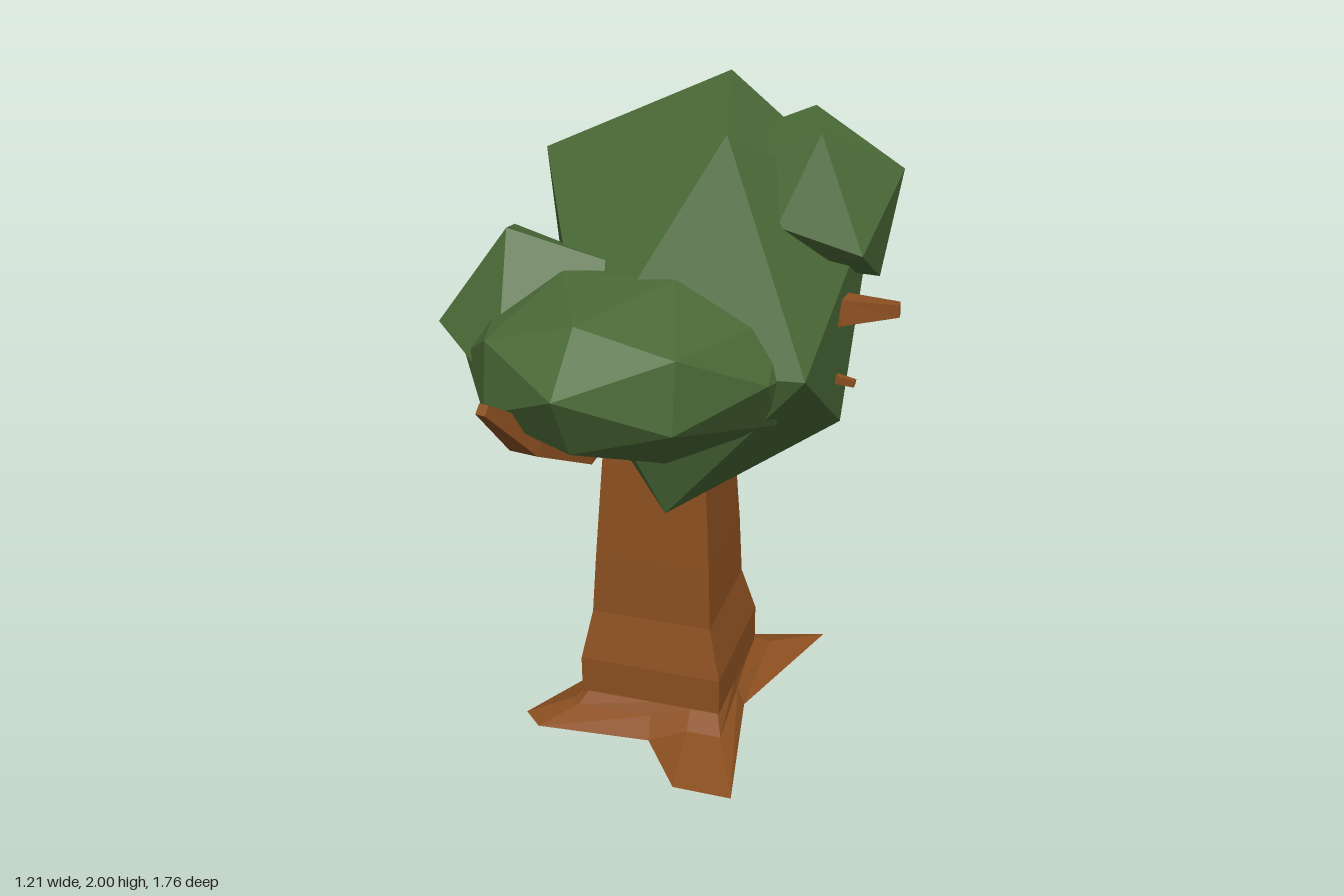
import * as THREE from 'three';
import { ConvexGeometry } from 'three/addons/geometries/ConvexGeometry.js';

const bark = new THREE.MeshStandardMaterial({ color: 0x8b4f20, flatShading: true });
const leaf = new THREE.MeshStandardMaterial({ color: 0x4b6a37, flatShading: true });
const V = (x, y, z) => new THREE.Vector3(x, y, z);

// Skin over a list of rings (clockwise seen from the far end), capped at both ends
function loft(rings) {
  const out = [];
  const tri = (...p) => p.forEach((v) => out.push(v.x, v.y, v.z));
  const n = rings[0].length;
  const mid = (ring) => ring.reduce((s, p) => s.add(p), V(0, 0, 0)).divideScalar(n);
  const first = rings[0], last = rings[rings.length - 1];
  const c0 = mid(first), c1 = mid(last);
  for (let i = 0; i < n; i++) {
    const j = (i + 1) % n;
    for (let k = 0; k < rings.length - 1; k++) {
      const lo = rings[k], hi = rings[k + 1];
      tri(lo[i], hi[i], lo[j]);
      tri(lo[j], hi[i], hi[j]);
    }
    tri(c0, first[i], first[j]);
    tri(c1, last[j], last[i]);
  }
  const g = new THREE.BufferGeometry();
  g.setAttribute('position', new THREE.Float32BufferAttribute(out, 3));
  g.computeVertexNormals();
  return g;
}

// Tapered four-sided branch through [x, y, z, radius] stations
function limb(stations) {
  const pts = stations.map(([x, y, z]) => V(x, y, z));
  return loft(pts.map((p, i) => {
    const t = pts[Math.min(i + 1, pts.length - 1)].clone().sub(pts[Math.max(i - 1, 0)]).normalize();
    const u = V(0, 1, 0).cross(t).normalize();
    const v = t.clone().cross(u);
    return [0, 1, 2, 3].map((k) => {
      const a = -(k + 0.5) * Math.PI / 2, r = stations[i][3];
      return p.clone().addScaledVector(u, r * Math.cos(a)).addScaledVector(v, r * Math.sin(a));
    });
  }));
}

const hull = (points) => new ConvexGeometry(points.map((p) => V(...p)));

export function createModel() {
  const tree = new THREE.Group();
  tree.name = 'tree';
  const add = (name, geometry, material) => {
    const m = new THREE.Mesh(geometry, material);
    m.name = name;
    tree.add(m);
    return m;
  };

  // Square trunk: [y, half width, centre x]
  add('trunk', loft([[0.1, 0.228, -0.085], [0.24, 0.228, -0.085], [0.4, 0.192, -0.09],
    [0.6, 0.182, -0.087], [0.9, 0.163, -0.085], [1.2, 0.14, -0.085]].map(([y, h, x]) =>
    [[1, -1], [1, 1], [-1, 1], [-1, -1]].map(([a, b]) => V(x + a * h, y, -0.01 + b * h)))), bark);

  // Root flare: a flat star squeezed between two squares
  const square = [[0.14, -0.24], [0.14, 0], [0.14, 0.22], [0.05, 0.22], [-0.08, 0.22],
    [-0.29, 0.22], [-0.31, 0.2], [-0.31, 0], [-0.31, -0.24], [-0.08, -0.24]];
  const star = [[0.345, -0.445], [0.18, 0.04], [0.26, 0.5], [0.08, 0.5], [-0.06, 0.31],
    [-0.42, 0.34], [-0.485, 0.28], [-0.34, 0], [-0.37, -0.3], [-0.1, -0.27]];
  const at = (ring, y) => ring.map(([x, z]) => V(x, y, z));
  const shoulder = star.map(([x, z], i) =>
    [square[i][0] * 0.78 + x * 0.22, square[i][1] * 0.78 + z * 0.22]);
  add('roots', loft([at(square, 0), at(star, 0.04), at(shoulder, 0.08), at(square, 0.12)]), bark);

  // Branches
  add('backBranch', limb([[-0.12, 0.94, -0.08, 0.08], [-0.22, 0.905, -0.33, 0.05],
    [-0.26, 0.875, -0.49, 0.092], [-0.29, 0.865, -0.69, 0.042]]), bark);
  add('backTwig', limb([[-0.25, 0.89, -0.44, 0.07], [-0.31, 0.9, -0.42, 0.055],
    [-0.38, 0.905, -0.4, 0.022]]), bark);
  add('frontBranch', limb([[-0.19, 1.15, 0.2, 0.07], [-0.21, 1.135, 0.47, 0.09],
    [-0.24, 1.23, 0.69, 0.06], [-0.275, 1.375, 0.865, 0.02]]), bark);
  add('leftBranch', limb([[0.1, 1.3, 0.02, 0.06], [0.44, 1.43, 0.04, 0.055],
    [0.6, 1.44, 0.03, 0.025]]), bark);
  add('leftTwig', limb([[0.3, 1.22, -0.01, 0.025], [0.48, 1.19, -0.01, 0.014]]), bark);

  // Main crown: a jagged twelve-cornered hull
  add('mainCrown', hull([[0, 2, -0.38], [0.16, 1.94, 0.25], [-0.41, 1.84, 0.08],
    [-0.41, 1.52, -0.47], [0.16, 1.38, -0.64], [0.415, 1, -0.16], [0.415, 1.34, 0.39],
    [0, 0.85, 0.3], [0.48, 1.69, -0.18], [-0.15, 1.37, 0.52], [-0.42, 1.07, -0.1],
    [-0.05, 0.98, -0.4]]), leaf);

  // Long tilted clump that pokes out at the front and the back
  const long = add('longClump', new THREE.IcosahedronGeometry(1, 1), leaf);
  long.scale.set(0.5, 0.305, 0.895);
  long.rotation.x = -0.17;
  long.position.set(-0.09, 1.27, 0);

  // Small clumps
  add('rightClump', hull([[-0.605, 1.42, 0.43], [-0.41, 1.685, 0.38], [-0.55, 1.59, 0.02],
    [-0.34, 1.33, 0.65], [-0.54, 1.22, 0.1], [-0.44, 1.09, 0.2], [-0.1, 1.6, 0.35],
    [-0.2, 1.1, 0.42], [-0.2, 1.4, 0]]), leaf);
  add('leftTopClump', hull([[0.57, 1.8, -0.11], [0.38, 1.93, 0.12], [0.3, 1.945, -0.19],
    [0.36, 1.67, -0.33], [0.52, 1.49, -0.1], [0.51, 1.62, 0.16], [0.29, 1.7, 0.22],
    [0.19, 1.91, -0.09], [0.22, 1.87, 0.1], [0.3, 1.55, 0.05]]), leaf);
  add('backClump', hull([[-0.16, 1.7, -0.57], [-0.38, 1.58, -0.46], [-0.37, 1.47, -0.62],
    [-0.08, 1.42, -0.705], [0.02, 1.57, -0.57], [0.02, 1.4, -0.6], [-0.41, 1.42, -0.46],
    [-0.2, 1.3, -0.58], [-0.15, 1.55, -0.35]]), leaf);

  return tree;
}
